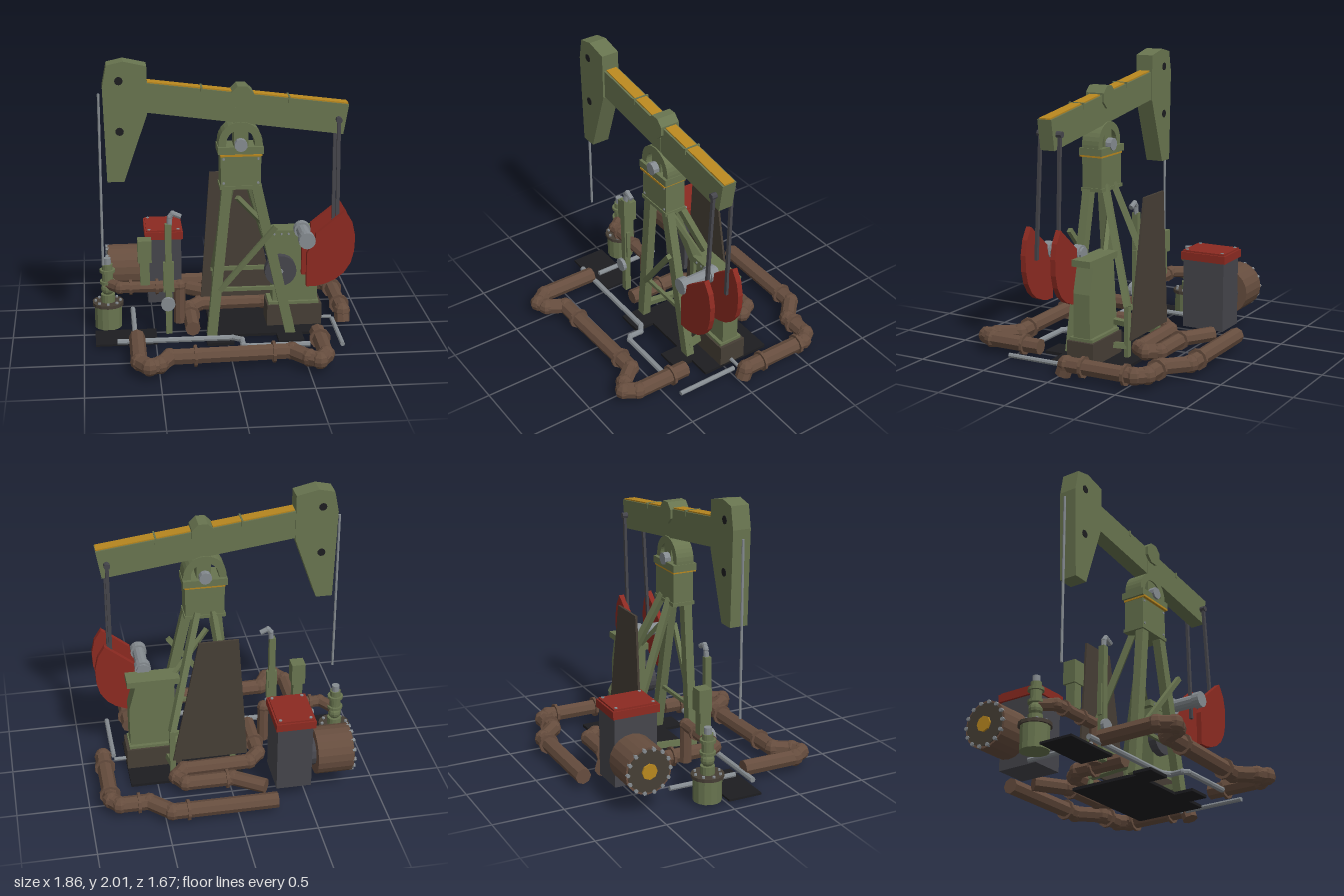
import * as THREE from 'three';

const mat = (name, color, extra = {}) => Object.assign(new THREE.MeshStandardMaterial({ color, flatShading: true, ...extra }), { name });

export function createModel() {
  const root = new THREE.Group();
  root.name = 'pumpJack';
  const green = mat('olive paint', 0x68744f);
  const brown = mat('brown pipe', 0x664d3e);
  const red = mat('red paint', 0x8c2a21);
  const grey = mat('charcoal metal', 0x45454b);
  const silver = mat('silver metal', 0x858b90);
  const yellow = mat('yellow trim', 0xb8871f);
  const black = mat('black plate', 0x1d1d20);
  const guardMat = mat('dark brown sheet', 0x463e35);

  const V = (a) => new THREE.Vector3(...a);
  const add = (name, geo, m, pos = [0, 0, 0], parent = root) => {
    const mesh = new THREE.Mesh(geo, m);
    mesh.name = name;
    mesh.position.set(...pos);
    parent.add(mesh);
    return mesh;
  };
  // box given by its limits on each axis
  const box = (name, m, [x0, x1], [y0, y1], [z0, z1], parent = root) =>
    add(name, new THREE.BoxGeometry(x1 - x0, y1 - y0, z1 - z0), m, [(x0 + x1) / 2, (y0 + y1) / 2, (z0 + z1) / 2], parent);
  // stretch a y-aligned geometry's mesh between two points
  const aim = (mesh, a, b) => {
    mesh.position.copy(a).add(b).multiplyScalar(0.5);
    mesh.quaternion.setFromUnitVectors(new THREE.Vector3(0, 1, 0), b.clone().sub(a).normalize());
    return mesh;
  };
  const rod = (name, m, a, b, r, sides = 8, parent = root) => {
    const p = V(a), q = V(b);
    return aim(add(name, new THREE.CylinderGeometry(r, r, p.distanceTo(q), sides), m, undefined, parent), p, q);
  };
  // square bar between two points, kept upright to the front
  const bar = (name, m, a, b, w, d) => {
    const p = V(a), q = V(b);
    return aim(add(name, new THREE.BoxGeometry(w, p.distanceTo(q), d), m), p, q);
  };
  // flat outline in x and y, pushed out from z0 to z1
  const plate = (name, m, pts, z0, z1) => {
    const shape = new THREE.Shape(pts.map(([x, y]) => new THREE.Vector2(x, y)));
    return add(name, new THREE.ExtrudeGeometry(shape, { depth: z1 - z0, bevelEnabled: false }), m, [0, 0, z0]);
  };
  // straight pipe runs with faceted elbows and collars at [run, fraction]
  const pipe = (name, m, pts, r, collars = []) => {
    const g = new THREE.Group();
    g.name = name;
    root.add(g);
    for (let i = 1; i < pts.length; i++) {
      rod('pipeRun', m, pts[i - 1], pts[i], r, 8, g);
      if (i < pts.length - 1) add('elbow', new THREE.SphereGeometry(r * 1.1, 8, 6), m, pts[i], g);
    }
    for (const [i, t] of collars) {
      const a = V(pts[i]), b = V(pts[i + 1]);
      const c = a.clone().lerp(b, t), d = b.clone().sub(a).normalize().multiplyScalar(0.01);
      rod('collar', m, c.clone().sub(d).toArray(), c.clone().add(d).toArray(), r * 1.32, 10, g);
    }
  };

  // ground plates
  box('mainBasePlate', black, [-0.11, 0.69], [0.005, 0.025], [-0.35, 0.17]);
  box('leftFootPlate', black, [-0.15, 0.04], [0.005, 0.025], [0.17, 0.31]);
  box('rightFootPlate', black, [0.35, 0.53], [0.005, 0.025], [0.17, 0.31]);
  box('wellPlate', black, [-0.92, -0.49], [0.005, 0.02], [0.005, 0.25]);

  // walking beam with trim on its upper edge
  plate('walkingBeam', green, [[-0.56, 1.65], [0.79, 1.465], [0.825, 1.67], [-0.56, 1.85]], 0.06, 0.165);
  const topY = (x) => 1.85 - (x + 0.56) * 0.13;
  for (const [x0, x1] of [[-0.53, 0.03], [0.18, 0.822]])
    plate('beamTrim', yellow, [[x0, topY(x0)], [x1, topY(x1)], [x1, topY(x1) + 0.009], [x0, topY(x0) + 0.009]], 0.072, 0.152);
  for (const x of [-0.17, 0.42]) box('beamClip', green, [x - 0.006, x + 0.006], [topY(x) - 0.03, topY(x) + 0.012], [0.055, 0.17]);
  plate('horseHead', green, [[-0.83, 1.825], [-0.8, 1.975], [-0.69, 2], [-0.535, 1.965], [-0.535, 1.64], [-0.695, 1.175], [-0.81, 1.175]], 0.052, 0.18);
  for (const y of [1.87, 1.525]) rod('headHole', black, [-0.72, y, 0.049], [-0.72, y, 0.183], 0.028, 12);
  rod('polishedRod', silver, [-0.855, 0.555, 0.112], [-0.855, 1.77, 0.112], 0.009);

  // pivot and saddle bearing
  const hub = rod('beamPivot', green, [0.1, 1.74, 0.045], [0.1, 1.74, 0.185], 0.082, 8);
  hub.rotateY(Math.PI / 8);
  box('pivotPost', green, [0.045, 0.145], [1.4, 1.67], [0.06, 0.17]);
  const arch = new THREE.Shape();
  arch.absarc(0.09, 1.42, 0.15, 0, Math.PI, false);
  arch.lineTo(-0.06, 1.39);
  arch.lineTo(-0.01, 1.39);
  arch.lineTo(-0.01, 1.42);
  arch.absarc(0.09, 1.42, 0.097, Math.PI, 0, true);
  arch.lineTo(0.187, 1.39);
  arch.lineTo(0.24, 1.39);
  add('saddleArch', new THREE.ExtrudeGeometry(arch, { depth: 0.13, bevelEnabled: false, curveSegments: 8 }), green, [0, 0, 0.05]);
  rod('saddlePin', silver, [0.09, 1.415, 0.016], [0.09, 1.415, 0.215], 0.044, 10);

  // tower head, legs and braces
  box('headCap', green, [-0.065, 0.245], [1.35, 1.4], [0.025, 0.2]);
  box('headTrim', yellow, [-0.05, 0.235], [1.336, 1.35], [0.03, 0.205]);
  box('towerHead', green, [-0.045, 0.23], [1.12, 1.336], [0.035, 0.185]);
  box('headFlange', green, [-0.052, 0.237], [1.1, 1.125], [0.028, 0.192]);
  for (const x of [-0.025, 0.21]) for (const y of [1.145, 1.315]) rod('headBolt', silver, [x, y, 0.18], [x, y, 0.19], 0.009, 6);
  for (const [xt, xb, xr, xf] of [[0, -0.105, 0.04, -0.05], [0.2, 0.45, 0.15, 0.38]]) {
    bar('frontLeg', green, [xt, 1.12, 0.15], [xb, 0.02, 0.15], 0.07, 0.06);
    bar('rearLeg', green, [xr, 1.14, 0.05], [xf, 0.37, -0.25], 0.045, 0.045);
    bar('footTie', green, [xb, 0.1, 0.15], [xf, 0.1, -0.25], 0.04, 0.04);
    bar('rearPost', green, [xf, 0.02, -0.25], [xf, 0.38, -0.25], 0.04, 0.03);
  }
  bar('frontCrossBar', green, [-0.07, 0.36, 0.15], [0.37, 0.36, 0.15], 0.025, 0.025);
  bar('rearCrossBar', green, [-0.08, 0.36, -0.255], [0.4, 0.36, -0.255], 0.03, 0.025);
  bar('diagonalBrace', green, [-0.05, 0.36, 0.17], [0.33, 0.84, 0.23], 0.035, 0.03);
  bar('sideBrace', green, [0.08, 1.0, 0.05], [0.34, 0.7, -0.05], 0.03, 0.03);
  plate('beltGuard', guardMat, [[-0.15, 0.14], [0.38, 0.14], [0.19, 1.09], [-0.085, 1.09]], -0.278, -0.262);

  // gearbox with pulley
  box('gearboxPlinth', guardMat, [0.3, 0.69], [0.02, 0.18], [-0.16, 0.04]);
  box('gearboxFoot', green, [0.31, 0.67], [0.17, 0.2], [-0.145, 0.03]);
  plate('gearbox', green, [[0.34, 0.2], [0.66, 0.2], [0.66, 0.5], [0.61, 0.69], [0.34, 0.69]], -0.12, 0.005);
  box('gearboxLid', green, [0.3, 0.67], [0.685, 0.73], [-0.13, 0.01]);
  for (let i = 0; i < 6; i++) rod('lidBolt', silver, [0.35 + i * 0.05, 0.705, 0.005], [0.35 + i * 0.05, 0.705, 0.016], 0.008, 6);
  rod('pulley', grey, [0.39, 0.445, 0], [0.39, 0.445, 0.06], 0.112, 20);
  rod('pulleyHub', silver, [0.39, 0.445, 0.05], [0.39, 0.445, 0.068], 0.018, 8);

  // crank shaft, counterweights and pitman arms
  rod('crankShaft', silver, [0.54, 0.745, -0.01], [0.54, 0.745, 0.285], 0.045, 12);
  for (const z of [0.03, 0.257]) {
    plate('counterweight', red, [[0.54, 0.41], [0.61, 0.412], [0.67, 0.427], [0.74, 0.457], [0.8, 0.505], [0.845, 0.575], [0.867, 0.66], [0.872, 0.77], [0.85, 0.87], [0.8, 0.952], [0.6, 0.79], [0.6, 0.76], [0.54, 0.65]], z - 0.019, z + 0.019);
    rod('crankDisc', silver, [0.54, 0.745, z - 0.025], [0.54, 0.745, z + 0.03], 0.058, 16);
  }
  for (const [zt, zb] of [[0.185, 0.228], [0.04, 0.06]]) {
    bar('pitmanArm', grey, [0.755, 1.58, zt], [0.755, 0.72, zb], 0.024, 0.02);
    rod('pitmanPin', grey, [0.755, 1.57, zt - 0.02], [0.755, 1.57, zt + 0.02], 0.022);
  }

  // engine cabinet and side motor
  box('engineCabinet', grey, [-0.53, -0.285], [0.08, 0.575], [-0.645, -0.335]);
  box('cabinetLid', red, [-0.548, -0.272], [0.57, 0.625], [-0.66, -0.32]);
  box('lidTop', red, [-0.536, -0.284], [0.62, 0.637], [-0.648, -0.332]);
  for (const x of [-0.515, -0.305]) for (const z of [-0.625, -0.355]) rod('cabinetBolt', silver, [x, 0.63, z], [x, 0.642, z], 0.012, 6);
  rod('sideMotor', brown, [-0.815, 0.295, -0.535], [-0.565, 0.295, -0.535], 0.165, 20);
  rod('motorNeck', grey, [-0.57, 0.295, -0.535], [-0.52, 0.295, -0.535], 0.1, 12);
  rod('motorFace', guardMat, [-0.822, 0.295, -0.535], [-0.81, 0.295, -0.535], 0.15, 20);
  rod('motorCap', yellow, [-0.835, 0.295, -0.535], [-0.82, 0.295, -0.535], 0.055, 8);
  for (let i = 0; i < 14; i++) {
    const a = i / 14 * Math.PI * 2, y = 0.295 + 0.152 * Math.sin(a), z = -0.535 + 0.152 * Math.cos(a);
    rod('motorBolt', silver, [-0.832, y, z], [-0.805, y, z], 0.014, 6);
  }

  // wellhead stack: radius, bottom, top
  const wx = -0.825, wz = -0.11;
  for (const [m, r, y0, y1] of [[green, 0.098, 0.01, 0.175], [guardMat, 0.112, 0.175, 0.198], [green, 0.05, 0.198, 0.255], [green, 0.03, 0.25, 0.34],
    [green, 0.055, 0.335, 0.355], [green, 0.04, 0.355, 0.42], [green, 0.055, 0.42, 0.44], [green, 0.038, 0.44, 0.48], [silver, 0.027, 0.48, 0.525]])
    rod('wellheadSection', m, [wx, y0, wz], [wx, y1, wz], r, 14);
  add('wellheadValve', new THREE.SphereGeometry(0.048, 10, 8), green, [wx, 0.295, wz]);
  for (let i = 0; i < 8; i++) {
    const x = wx + 0.088 * Math.cos(i * Math.PI / 4), z = wz + 0.088 * Math.sin(i * Math.PI / 4);
    rod('flangeBolt', silver, [x, 0.19, z], [x, 0.21, z], 0.011, 6);
  }

  // manifold, valve box and vent stand
  pipe('manifold', brown, [[-0.81, 0.33, -0.1], [-0.74, 0.335, -0.01], [-0.32, 0.335, -0.01], [-0.32, 0.06, -0.01]], 0.042, [[1, 0.18], [1, 0.62]]);
  box('valveStem', green, [-0.597, -0.53], [0.36, 0.54], [-0.045, 0.025]);
  box('valveBox', green, [-0.612, -0.515], [0.53, 0.69], [-0.06, 0.035]);
  box('ventStand', green, [-0.425, -0.38], [0.03, 0.84], [0.085, 0.13]);
  box('ventBracket', green, [-0.44, -0.365], [0.34, 0.56], [0.09, 0.12]);
  pipe('ventPipe', silver, [[-0.395, 0.83, 0.105], [-0.39, 0.89, 0.105], [-0.37, 0.915, 0.105], [-0.315, 0.89, 0.105]], 0.019);
  rod('handWheel', silver, [-0.41, 0.26, 0.13], [-0.41, 0.26, 0.155], 0.05, 12);

  // ground pipework
  const h = 0.078, r = 0.056;
  const ground = (pts) => pts.map(([x, z]) => [x, h, z]);
  pipe('rearPipe', brown, [...ground([[-0.27, -0.76], [0.46, -0.76], [0.6, -0.625], [0.8, -0.625], [0.855, -0.56], [0.855, -0.055]]), [0.855, 0.005, -0.03]], r, [[0, 0.85], [2, 0.35], [4, 0.12], [4, 0.74]]);
  pipe('frontPipe', brown, ground([[-0.635, 0.27], [-0.635, 0.68], [-0.57, 0.77], [-0.5, 0.74], [-0.43, 0.625], [0.4, 0.6], [0.5, 0.72], [0.565, 0.765], [0.62, 0.68], [0.62, 0.29]]), r, [[4, 0.21], [4, 0.85], [8, 0.68]]);
  pipe('innerPipe', brown, ground([[-0.22, -0.6], [-0.01, -0.465], [0.32, -0.465], [0.375, -0.385], [0.31, -0.305], [-0.16, -0.295], [-0.24, -0.21], [-0.24, 0.17]]), 0.053, [[1, 0.12], [6, 0.35]]);
  pipe('frontConduit', silver, [[-0.77, 0.045, 0.27], [0.03, 0.045, 0.27], [0.09, 0.045, 0.31], [0.09, 0.045, 0.4], [0.12, 0.045, 0.425], [0.55, 0.045, 0.425]], 0.02);
  rod('sideConduit', silver, [0.775, 0.04, -0.01], [0.775, 0.04, 0.44], 0.017);
  rod('shortConduit', silver, [0.67, 0.04, -0.05], [0.775, 0.04, -0.05], 0.013);
  rod('wellConduit', silver, [-0.645, 0.05, -0.3], [-0.645, 0.05, 0.2], 0.018);
  return root;
}
